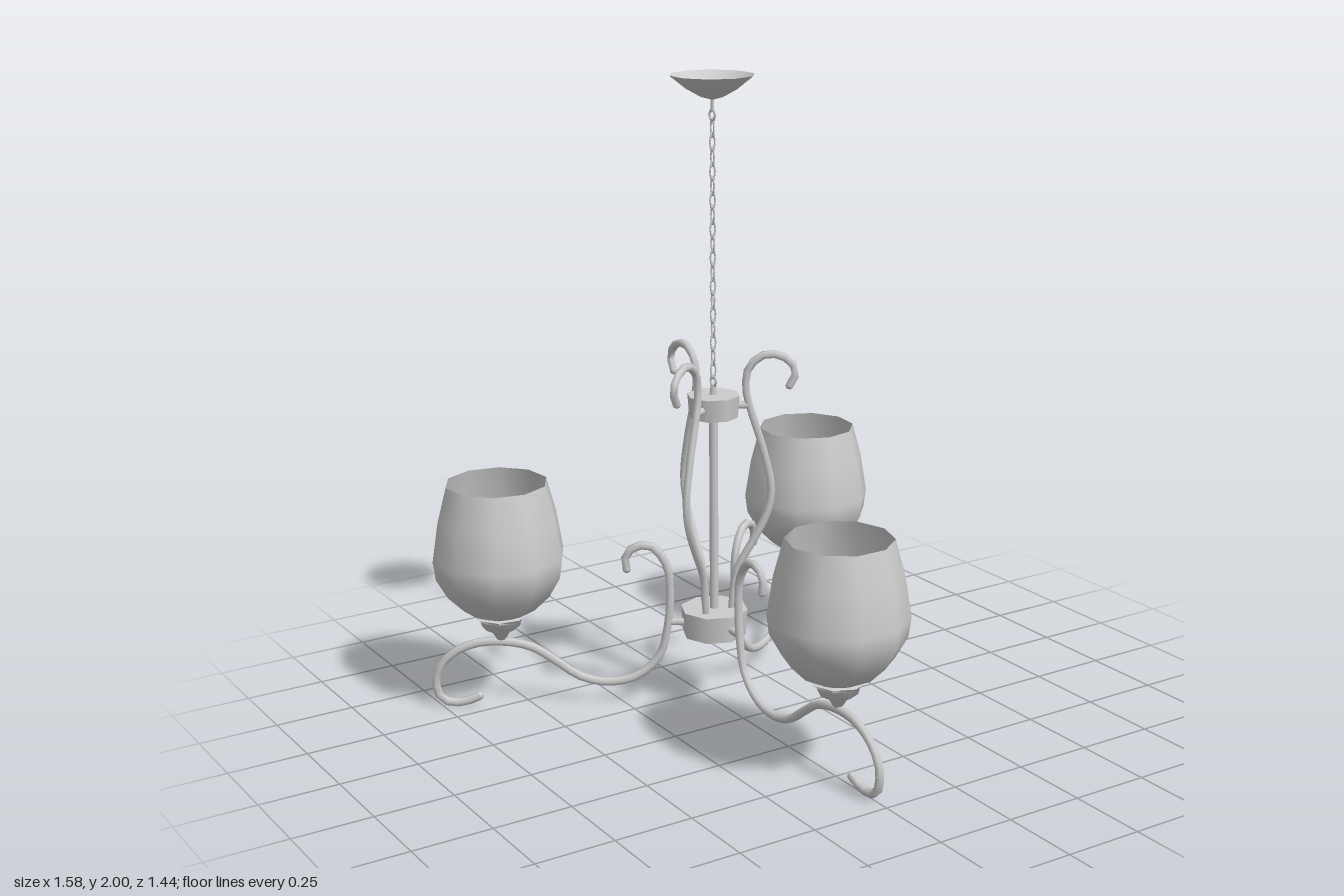
import * as THREE from 'three';

const mat = new THREE.MeshStandardMaterial({ color: 0xcccccc, side: THREE.DoubleSide });

function part(parent, name, geometry, x = 0, y = 0, z = 0) {
  const mesh = new THREE.Mesh(geometry, mat);
  mesh.name = name;
  mesh.position.set(x, y, z);
  parent.add(mesh);
  return mesh;
}

const lathe = (pts, sides) =>
  new THREE.LatheGeometry(pts.map(([r, y]) => new THREE.Vector2(r, y)), sides);

// bent rod in the plane of its arm: points are [distance from axis, height]
function rod(parent, name, pts, steps, radius = 0.014) {
  const curve = new THREE.CatmullRomCurve3(pts.map(([r, y]) => new THREE.Vector3(r, y, 0)));
  part(parent, name, new THREE.TubeGeometry(curve, steps, radius, 6));
  for (const [r, y] of [pts[0], pts[pts.length - 1]])
    part(parent, name + 'End', new THREE.SphereGeometry(radius, 6, 4), r, y, 0);
}

// horizontal stub joining a rod to its hub
function stub(parent, from, to, y) {
  const mesh = part(parent, 'stub', new THREE.CylinderGeometry(0.012, 0.012, to - from, 6), (from + to) / 2, y, 0);
  mesh.rotation.z = Math.PI / 2;
}

const armPath = [
  [0.75, 0.035], [0.81, 0.015], [0.87, 0.03], [0.885, 0.1], [0.85, 0.165], [0.775, 0.21],
  [0.68, 0.22], [0.58, 0.2], [0.51, 0.155], [0.425, 0.095], [0.335, 0.075], [0.245, 0.095],
  [0.175, 0.16], [0.15, 0.25], [0.14, 0.36], [0.15, 0.465], [0.2, 0.53], [0.255, 0.525],
  [0.28, 0.49], [0.275, 0.455]];
const scrollPath = [
  [0.235, 1.045], [0.255, 1.09], [0.22, 1.135], [0.16, 1.145], [0.11, 1.105], [0.1, 1.04],
  [0.115, 0.97], [0.155, 0.84], [0.18, 0.71], [0.165, 0.63], [0.127, 0.55], [0.07, 0.44], [0.055, 0.31]];

function makeShade() {
  const rim = 0.755;
  const g = lathe([[0.06, 0.31], [0.115, 0.335], [0.165, 0.385], [0.202, 0.45], [0.21, 0.51],
    [0.19, 0.635], [0.16, rim]], 10);
  // gently waved rim
  const p = g.attributes.position;
  for (let i = 0; i < p.count; i++) {
    if (p.getY(i) > rim - 0.01)
      p.setY(i, rim - 0.008 + 0.008 * Math.cos(5 * Math.atan2(p.getZ(i), p.getX(i))));
  }
  return g;
}

export function createModel() {
  const model = new THREE.Group();
  model.name = 'chandelier';
  const body = new THREE.Group();
  body.name = 'body';
  body.position.z = -0.17;
  model.add(body);

  // ceiling canopy
  part(body, 'canopy', lathe([[0, 1.925], [0.035, 1.935], [0.08, 1.96], [0.13, 2]], 10));

  // chain with a ring at each end
  const links = 18, y0 = 1.075, y1 = 1.865, pitch = (y1 - y0) / links;
  for (let i = 0; i < links; i++) {
    const link = part(body, 'chainLink', new THREE.TorusGeometry(0.009, 0.003, 4, 8), 0, y0 + (i + 0.5) * pitch, 0);
    link.scale.y = 2.6;
    link.rotation.y = i % 2 ? Math.PI / 2 : 0;
  }
  for (const y of [1.062, 1.88]) {
    part(body, 'chainRing', new THREE.TorusGeometry(0.016, 0.004, 5, 6), 0, y, 0).rotation.y = Math.PI / 2;
  }
  part(body, 'canopyLoop', new THREE.CylinderGeometry(0.005, 0.005, 0.04, 6), 0, 1.912, 0);
  part(body, 'hubLoop', new THREE.CylinderGeometry(0.008, 0.012, 0.035, 6), 0, 1.035, 0);

  // central column and hubs
  part(body, 'column', new THREE.CylinderGeometry(0.014, 0.014, 0.66, 8), 0, 0.64, 0);
  part(body, 'upperHub', new THREE.CylinderGeometry(0.083, 0.077, 0.07, 8), 0, 0.985, 0);
  part(body, 'lowerHub', new THREE.CylinderGeometry(0.108, 0.102, 0.085, 8), 0, 0.278, 0);
  part(body, 'finial', new THREE.SphereGeometry(0.016, 6, 5), 0, 0.222, 0);

  const shade = makeShade();
  for (let k = 0; k < 3; k++) {
    // lamp arm
    const arm = new THREE.Group();
    arm.name = 'lampArm';
    arm.rotation.y = -Math.PI / 2 + k * Math.PI * 2 / 3;
    body.add(arm);
    rod(arm, 'armRod', armPath, 44);
    stub(arm, 0.09, 0.15, 0.275);

    // cup, socket and glass shade
    const lamp = new THREE.Group();
    lamp.name = 'lamp';
    lamp.position.x = 0.675;
    arm.add(lamp);
    part(lamp, 'cup', lathe([[0, 0.222], [0.014, 0.228], [0.03, 0.255], [0.06, 0.272], [0.066, 0.295], [0.088, 0.312], [0, 0.312]], 8));
    part(lamp, 'socket', new THREE.CylinderGeometry(0.05, 0.055, 0.09, 8), 0, 0.355, 0);
    part(lamp, 'socketCore', new THREE.CylinderGeometry(0.034, 0.034, 0.03, 6), 0, 0.412, 0);
    part(lamp, 'shade', shade);

    // upper scroll, set between the arms
    const scroll = new THREE.Group();
    scroll.name = 'scroll';
    scroll.rotation.y = arm.rotation.y + Math.PI / 3;
    body.add(scroll);
    rod(scroll, 'scrollRod', scrollPath, 30, 0.013);
    stub(scroll, 0.07, 0.11, 0.985);
  }
  return model;
}
